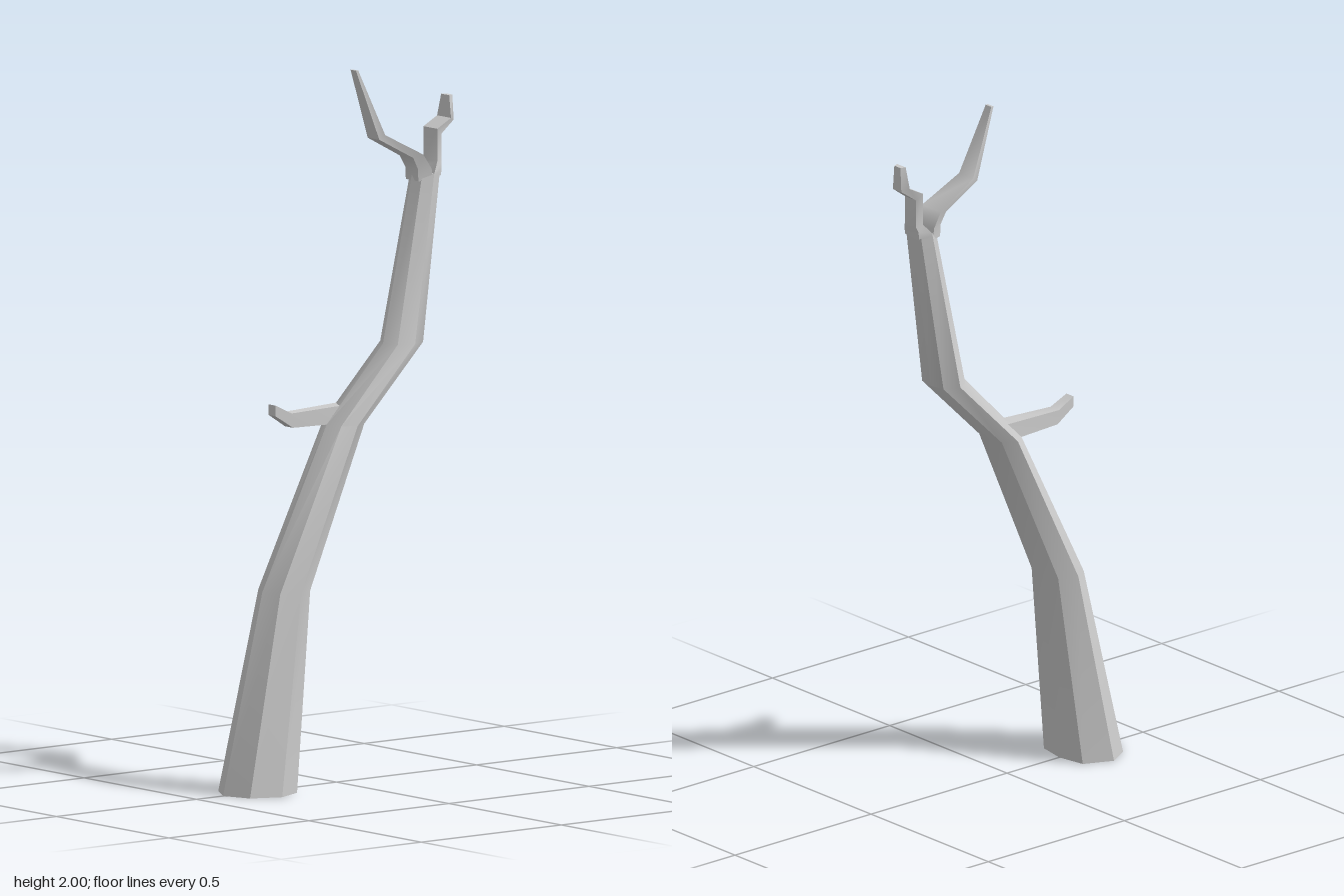
import * as THREE from 'three';
import { toCreasedNormals } from 'three/addons/utils/BufferGeometryUtils.js';

// Skin a list of rings (each a loop of [x, y, z]) and close both ends.
function loft(name, rings) {
  const n = rings[0].length;
  const index = [];
  for (let i = 0; i < rings.length - 1; i++) {
    for (let j = 0; j < n; j++) {
      const k = (j + 1) % n;
      const a = i * n + j, b = i * n + k;
      index.push(a, b, b + n, a, b + n, a + n);
    }
  }
  const last = (rings.length - 1) * n;
  for (let j = 1; j < n - 1; j++) {
    index.push(0, j + 1, j);
    index.push(last, last + j, last + j + 1);
  }
  const geometry = new THREE.BufferGeometry();
  geometry.setAttribute('position', new THREE.Float32BufferAttribute(rings.flat(2), 3));
  geometry.setIndex(index);
  const material = new THREE.MeshStandardMaterial({ color: 0xcccccc });
  const mesh = new THREE.Mesh(toCreasedNormals(geometry, 0.7), material);
  mesh.name = name;
  return mesh;
}

// Uneven octagon: [x factor, z factor], counter-clockwise from above.
const OCTAGON = [
  [1, 0], [0.69, -0.72], [0, -0.85], [-0.69, -0.72],
  [-1, 0], [-0.69, 0.57], [0, 1], [0.69, 0.74],
];
const trunkRing = ([y, z, halfWidth, halfDepth]) =>
  OCTAGON.map(([u, v]) => [u * halfWidth, y, z + v * halfDepth]);

// Four-sided twig ring from its front (lower) and back (upper) edges.
const twigRing = ([zf, yf, zb, yb, wf, wb = wf, x = 0]) => [
  [x + wb, yb, zb], [x - wb, yb, zb], [x - wf, yf, zf], [x + wf, yf, zf],
];

export function createModel() {
  const tree = new THREE.Group();
  tree.name = 'deadTree';

  // Leaning trunk: y, z centre, half width, half depth
  tree.add(loft('trunk', [
    [0, 0.29, 0.12, 0.115],
    [0.56, 0.192, 0.082, 0.073],
    [1.01, -0.02, 0.07, 0.056],
    [1.22, -0.228, 0.066, 0.062],
    [1.69, -0.313, 0.045, 0.043],
  ].map(trunkRing)));

  // Forward fork, bending out then up to a thin tip
  tree.add(loft('frontFork', [
    [-0.27, 1.67, -0.31, 1.67, 0.028, 0.043],
    [-0.268, 1.705, -0.305, 1.705, 0.028, 0.043],
    [-0.25, 1.738, -0.278, 1.746, 0.03, 0.04],
    [-0.132, 1.8, -0.15, 1.812, 0.026, 0.03],
    [-0.06, 2, -0.068, 2, 0.012],
  ].map(twigRing)));

  // Rear fork, stepping backward
  tree.add(loft('rearFork', [
    [-0.31, 1.68, -0.349, 1.68, 0.045, 0.03],
    [-0.315, 1.695, -0.351, 1.7, 0.045, 0.03],
    [-0.335, 1.72, -0.355, 1.715, 0.031, 0.024],
    [-0.335, 1.812, -0.355, 1.795, 0.031, 0.024],
    [-0.384, 1.838, -0.404, 1.83, 0.031, 0.018],
    [-0.388, 1.9, -0.403, 1.9, 0.018, 0.013],
  ].map(twigRing)));

  // Short side twig, set a little to the right
  tree.add(loft('sideTwig', [
    [0, 1.01, -0.04, 1.06, 0.025, 0.025, -0.024],
    [0.15, 1.012, 0.155, 1.053, 0.018, 0.018, -0.024],
    [0.21, 1.05, 0.21, 1.08, 0.015, 0.015, -0.025],
  ].map(twigRing)));

  return tree;
}
